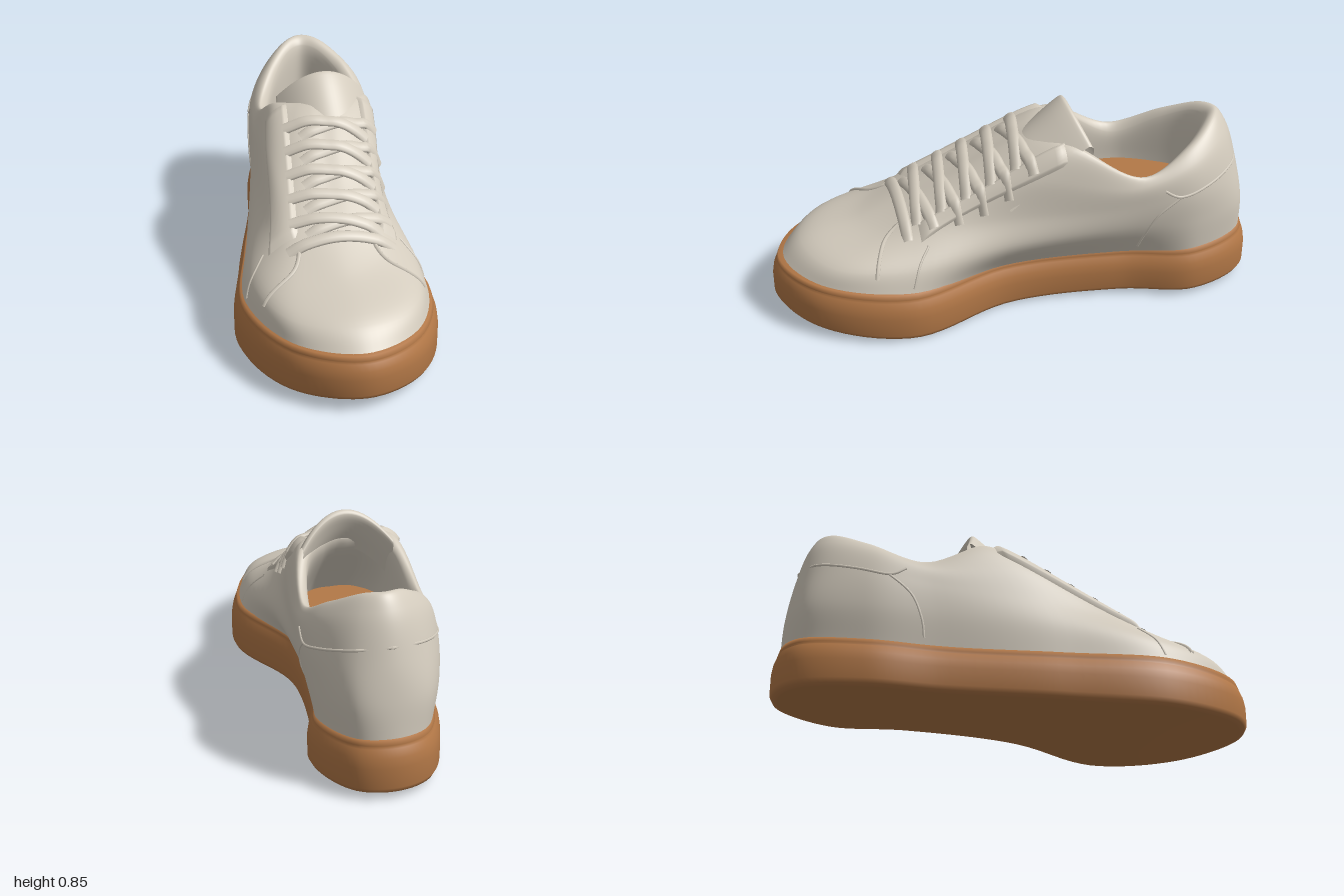
import * as THREE from 'three';

const V = (x, y, z) => new THREE.Vector3(x, y, z);
const SEG = 128;

// Closed loop from half stations, toe to heel: the inner ones repeat on the other side
function closedLoop(stations, place) {
  const left = stations.map(s => place(s, 1));
  const right = stations.slice(1, -1).reverse().map(s => place(s, -1));
  return new THREE.CatmullRomCurve3([...left, ...right], true);
}

// Ground outline of the sole: z, left x, right x
const outline = closedLoop([
  [1, 0, 0], [.87, .255, -.255], [.5, .4, -.4], [.06, .27, -.315],
  [-.4, .31, -.185], [-.7, .395, -.125], [-.945, .3, 0], [-1, .15, .15],
], ([z, l, r], side) => V(side > 0 ? l : r, 0, z));

// Point on the outline, moved inward
function outlineAt(t, inset) {
  const p = outline.getPoint(t), d = outline.getTangent(t);
  return V(p.x + d.z * inset, 0, p.z - d.x * inset);
}
const soleTop = z => .205 + .033 * z * z;
const soleBottom = z => z > .3 ? .055 * ((z - .3) / .7) ** 2 : .025 * (.3 - z) / 1.3;

// Loops of the upper are symmetric about a spine that swings aside towards the heel
const spine = (y, z) => .15 * THREE.MathUtils.smoothstep(y * .5 + .3 - z, 0, 1.5);
const upperLoop = (...stations) => closedLoop(stations, ([w, y, z], side) => V(spine(y, z) + side * w, y, z));

// Half width, height and z at each station
const low = upperLoop([0, .305, .875], [.235, .295, .77], [.335, .3, .46], [.295, .325, .06],
  [.263, .35, -.4], [.25, .36, -.7], [.145, .37, -.917], [0, .37, -.96]);
const middle = upperLoop([0, .378, .62], [.13, .385, .56], [.22, .42, .4], [.262, .455, .02],
  [.268, .47, -.42], [.248, .5, -.7], [.137, .52, -.885], [0, .52, -.935]);
const shoulder = upperLoop([0, .53, .3], [.075, .54, .28], [.155, .56, .2], [.235, .61, -.06],
  [.26, .55, -.44], [.222, .62, -.68], [.108, .68, -.84], [0, .69, -.885]);
const rim = upperLoop([0, .755, -.13], [.05, .755, -.13], [.11, .745, -.145], [.195, .72, -.22],
  [.23, .59, -.47], [.162, .68, -.68], [.07, .745, -.8], [0, .755, -.835]);

// Rows of points joined into a smooth skin; closed rows wrap around
function skin(rows, closed) {
  const n = rows[0].length, pos = [], idx = [];
  rows.forEach(r => r.forEach(p => pos.push(p.x, p.y, p.z)));
  for (let j = 0; j < rows.length - 1; j++) {
    for (let i = 0; i < (closed ? n : n - 1); i++) {
      const k = (i + 1) % n, a = j * n + i, b = j * n + k, c = a + n, d = b + n;
      idx.push(a, b, c, b, d, c);
    }
  }
  const g = new THREE.BufferGeometry();
  g.setAttribute('position', new THREE.Float32BufferAttribute(pos, 3));
  g.setIndex(idx);
  g.computeVertexNormals();
  return g;
}
const ring = fn => Array.from({ length: SEG }, (_, i) => fn(i / SEG));

// Flat oval band swept along a path
function band(points, width, thick, up) {
  const curve = new THREE.CatmullRomCurve3(points), rows = [];
  for (let j = 0; j <= 24; j++) {
    const p = curve.getPoint(j / 24), t = curve.getTangent(j / 24);
    const side = t.clone().cross(up).normalize(), n = side.clone().cross(t);
    rows.push(Array.from({ length: 10 }, (_, i) => {
      const a = i / 10 * Math.PI * 2;
      return p.clone().addScaledVector(side, Math.cos(a) * width / 2).addScaledVector(n, Math.sin(a) * thick / 2);
    }));
  }
  return skin(rows, true);
}

export function createModel() {
  const shoe = new THREE.Group();
  const leather = new THREE.MeshStandardMaterial({ color: 0xd3cbbd, side: THREE.DoubleSide });
  leather.name = 'pale leather';
  const rubber = new THREE.MeshStandardMaterial({ color: 0xb37847, side: THREE.DoubleSide });
  rubber.name = 'tan rubber';
  const add = (geo, mat, name, parent = shoe) => {
    const m = new THREE.Mesh(geo, mat);
    m.name = name;
    parent.add(m);
    return m;
  };

  // Sole wall: inset and height fraction for each row, with a fine groove near the top
  const wall = [[.03, 0], [.01, .03], [0, .12], [0, .5], [.006, .68], [.018, .84], [.026, .87], [.021, .9], [.028, 1], [.07, 1]];
  add(skin(wall.map(([inset, f]) => ring(t => {
    const p = outlineAt(t, inset);
    p.y = THREE.MathUtils.lerp(soleBottom(p.z), soleTop(p.z), f);
    return p;
  })), true), rubber, 'soleWall');

  // Tread underneath, growing out from the middle
  add(skin([0, .25, .5, .75, 1].map(s => ring(t => {
    const p = outlineAt(t, .03);
    p.x = .03 + (p.x - .03) * s;
    p.z *= s;
    p.y = soleBottom(p.z);
    return p;
  })), true), rubber, 'tread');

  // Upper: outside, rolled collar and lining in one skin; the lining runs forward under the tongue
  const inner = t => {
    const p = rim.getPoint(t);
    return V(.11 + (p.x - .11) * .87, p.y - .035, -.5 + (p.z + .5) * .87);
  };
  const floor = t => {
    const p = inner(t);
    return V(p.x, .43, p.z > -.5 ? -.5 + (p.z + .5) * 1.7 : p.z);
  };
  const columns = ring(t => {
    const base = outlineAt(t, .03);
    base.y = soleTop(base.z) - .02;
    const outside = [low, middle, shoulder, rim].map(l => l.getPoint(t));
    return new THREE.CatmullRomCurve3([base, ...outside, inner(t), floor(t)]).getPoints(54);
  });
  const upper = add(skin(columns[0].map((_, j) => columns.map(c => c[j])), true), leather, 'upper');

  // Insole seen through the opening
  add(skin([ring(floor), ring(() => V(.11, .43, -.5))], true), rubber, 'insole');

  // Arched tongue with a rounded top edge
  const tonguePath = new THREE.CatmullRomCurve3([V(0, .6, .12), V(0, .745, -.06), V(0, .845, -.185),
    V(0, .853, -.205), V(0, .838, -.22), V(0, .77, -.2), V(0, .68, -.15)]);
  const tongueRows = tonguePath.getPoints(30).map(p => Array.from({ length: 25 }, (_, i) => {
    const s = i / 12 - 1;
    return V(.107 + .185 * s, p.y - .12 * s * s, p.z - .055 * s * s);
  }));
  const tongue = add(skin(tongueRows, false), leather, 'tongue');

  // Finds where a line meets the surface, lifted slightly back along the line
  const caster = new THREE.Raycaster();
  const targets = [upper, tongue];
  const project = (from, dir, lift = 0) => {
    caster.set(from, dir);
    const hit = caster.intersectObjects(targets, false)[0];
    return hit ? hit.point.clone().addScaledVector(dir, -lift) : null;
  };
  const onTop = (x, z, lift = 0) => project(V(x, 2, z), V(0, -1, 0), lift);
  const onSide = (side, z, y) => project(V(side * 2, y, z), V(-side, 0, 0));

  // Raised seams, drawn as flat curves and laid on the surface
  const seams = new THREE.Group();
  seams.name = 'seams';
  shoe.add(seams);
  const laid = (flat, lay) => new THREE.SplineCurve(flat.map(p => new THREE.Vector2(...p))).getPoints(24).map(lay).filter(Boolean);
  const seam = (pts, name, r = .005) =>
    add(new THREE.TubeGeometry(new THREE.CatmullRomCurve3(pts), 60, r, 6), leather, name, seams);
  const heelMiddle = project(V(.15, .575, -2), V(0, 0, 1));
  for (const side of [1, -1]) {
    const name = side > 0 ? 'left' : 'right';
    const at = p => onSide(side, p.x, p.y);
    seam(laid([[.48, .23], [.45, .31], [.4, .37]], at), name + 'QuarterSeam');
    seam(laid([[-.47, .24], [-.485, .32], [-.53, .42], [-.62, .5]], at), name + 'HeelSeam');
    seam([...laid([[-.55, .535], [-.62, .5], [-.74, .525], [-.885, .565]], at), heelMiddle], name + 'CollarSeam', .006);
    seam(laid([[.16, .46], [.155, .5], [.2, .565], [.32, .62]], p => onTop(side * p.x, p.y)), name + 'ToeSeam', .009);
  }

  // Raised eyelet facings on both sides of the tongue
  const facings = [1, -1].map(side => {
    const dir = V(-side * .6, -.8, 0), rows = [];
    for (let j = 0; j <= 24; j++) {
      const f = j / 24, z = .43 - .6 * f;
      const edge = onTop(side > 0 ? .19 + .055 * f : -.14 + .085 * f, z);
      const outer = onSide(side, z, .375 + .3 * f);
      rows.push(Array.from({ length: 13 }, (_, i) => {
        const lift = (i === 0 || i === 12 || j === 0 || j === 24) ? -.004 : .014;
        const p = edge.clone().lerp(outer, i / 12);
        return project(p.clone().addScaledVector(dir, -.5), dir, lift) ?? p;
      }));
    }
    return add(skin(rows, false), leather, side > 0 ? 'leftFacing' : 'rightFacing');
  });
  targets.push(...facings);

  // Criss-cross laces: each starts at an eyelet and tucks under the row below
  const laces = new THREE.Group();
  laces.name = 'laces';
  shoe.add(laces);
  const up = V(0, .87, .49);
  const lace = (x0, z0, x1, z1, lift, name) => {
    const pts = [];
    for (let i = 0; i <= 8; i++) {
      const f = i / 8, arch = Math.sqrt(Math.max(0, Math.sin(Math.PI * f)));
      pts.push(onTop(x0 + (x1 - x0) * f, z0 + (z1 - z0) * f, -.008 + lift * arch));
    }
    add(band(pts.filter(Boolean), .052, .026, up), leather, name, laces);
  };
  lace(-.19, .47, .235, .475, .022, 'bottomLace');
  for (let i = 1; i < 6; i++) {
    const z = .47 - .1 * i, left = .235 + .01 * i, right = -.18 + .016 * i;
    lace(left, z, right + .06, z + .06, .016, 'laceFromLeft');
    lace(right, z, left - .05, z + .06, .028, 'laceFromRight');
  }
  return shoe;
}
